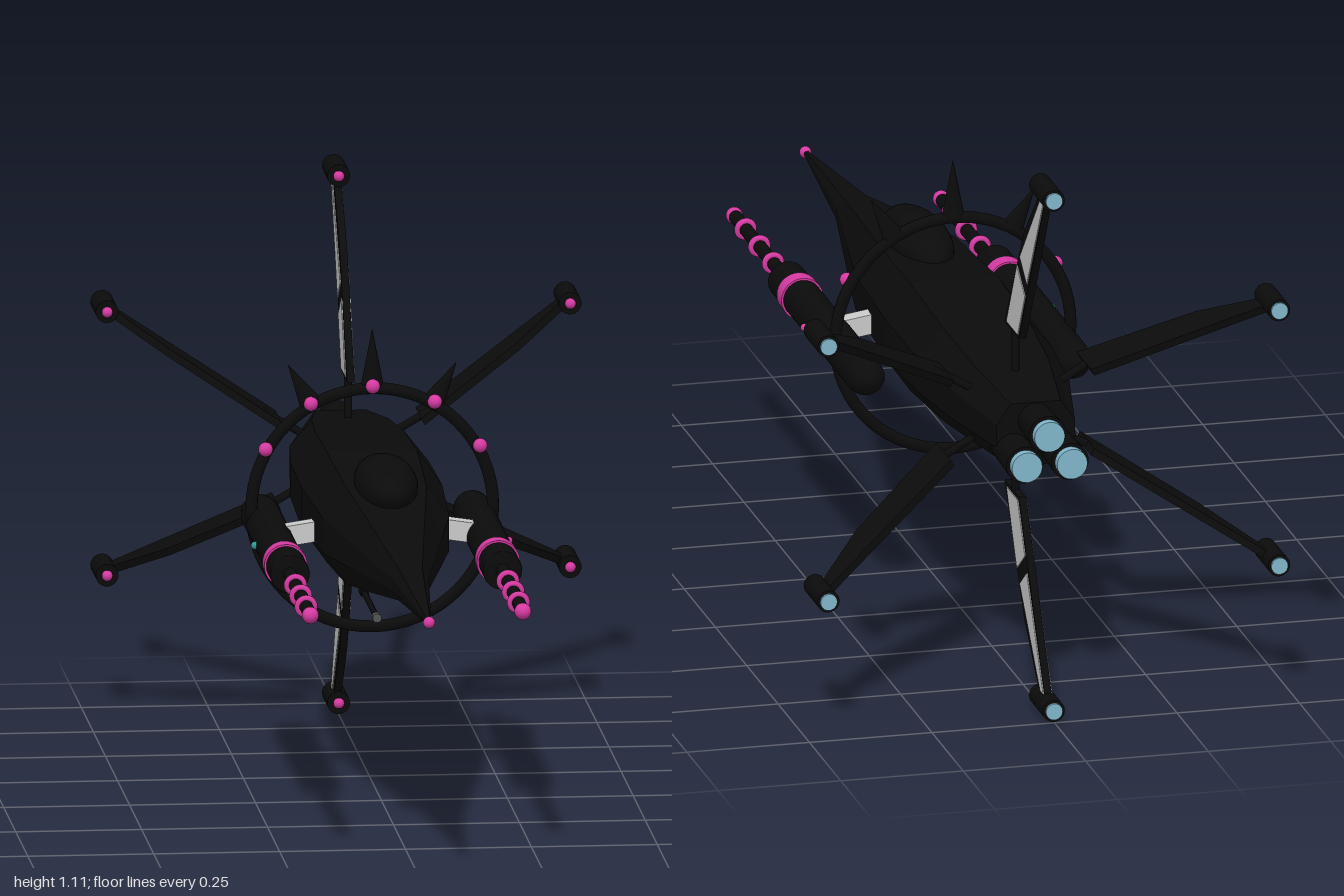
import * as THREE from 'three';

const AXIS_Y = 0.556;
const mat = (color, extra = {}) => {
  const m = new THREE.MeshStandardMaterial(extra);
  m.color.set(color);
  return m;
};

export function createModel() {
  const model = new THREE.Group();
  const black = mat(0x0b0b0c);
  const hullBlack = mat(0x0b0b0c, { flatShading: true });
  const pink = mat(0xd63aa2);
  const blue = mat(0x82b8cc);
  const teal = mat(0x2f9c94);
  const grey = mat(0x555555);
  const white = mat(0xe4e4e4);

  function add(parent, name, geometry, material, x = 0, y = 0, z = 0) {
    const mesh = new THREE.Mesh(geometry, material);
    mesh.name = name;
    mesh.position.set(x, y, z);
    parent.add(mesh);
    return mesh;
  }
  // Cylinder lying along z, from zBack to zFront
  const rod = (rFront, rBack, zBack, zFront, sides = 24) =>
    new THREE.CylinderGeometry(rFront, rBack, zFront - zBack, sides)
      .rotateX(Math.PI / 2).translate(0, 0, (zFront + zBack) / 2);
  const ball = (r) => new THREE.SphereGeometry(r, 16, 12);

  // Hull: chamfered eight-sided sections [z, half width, top, bottom]
  const sections = [
    [0.99, 0.004, 0.559, 0.551], [0.6, 0.037, 0.588, 0.524],
    [0.3, 0.09, 0.63, 0.484], [0.1, 0.125, 0.655, 0.46],
    [-0.2, 0.14, 0.668, 0.445], [-0.45, 0.137, 0.658, 0.463],
    [-0.65, 0.12, 0.643, 0.482], [-0.85, 0.08, 0.622, 0.492],
  ];
  const pos = [], index = [];
  for (const [z, w, top, bottom] of sections) {
    const mid = (top + bottom) / 2, h = (top - bottom) / 2;
    for (const [u, v] of [[1, -0.36], [1, 0.36], [0.64, 1], [-0.64, 1],
      [-1, 0.36], [-1, -0.36], [-0.64, -1], [0.64, -1]]) pos.push(u * w, mid + v * h, z);
  }
  for (let i = 0; i < sections.length - 1; i++) {
    for (let j = 0; j < 8; j++) {
      const a = i * 8 + j, b = i * 8 + (j + 1) % 8;
      index.push(a, a + 8, b + 8, a, b + 8, b);
    }
  }
  const last = (sections.length - 1) * 8;
  for (let j = 1; j < 7; j++) index.push(last, last + j + 1, last + j, 0, j, j + 1);
  const hull = new THREE.BufferGeometry();
  hull.setAttribute('position', new THREE.Float32BufferAttribute(pos, 3));
  hull.setIndex(index);
  hull.computeVertexNormals();
  add(model, 'hull', hull, hullBlack);
  add(model, 'noseTip', ball(0.012), pink, 0, AXIS_Y - 0.001, 0.988);
  add(model, 'canopy', new THREE.SphereGeometry(1, 32, 20).scale(0.062, 0.052, 0.165),
    black, 0, 0.66, 0.092);

  // Three main engines
  for (const [x, y] of [[0, 0.585], [-0.046, 0.525], [0.046, 0.525]]) {
    const engine = new THREE.Group();
    engine.name = 'mainEngine';
    engine.position.set(x, y, 0);
    add(engine, 'nozzle', rod(0.034, 0.038, -0.945, -0.78), black);
    add(engine, 'engineGlow', rod(0.031, 0.031, -0.963, -0.94), blue);
    model.add(engine);
  }

  // Halo ring with spikes and studs
  const halo = new THREE.Group();
  halo.name = 'halo';
  halo.position.set(0, AXIS_Y, -0.19);
  model.add(halo);
  add(halo, 'haloRing', new THREE.TorusGeometry(0.24, 0.012, 12, 64), black);
  for (const deg of [30, 60, 90, 120, 150]) {
    const a = THREE.MathUtils.degToRad(deg), c = Math.cos(a), s = Math.sin(a);
    add(halo, 'haloStud', ball(0.0145), pink, c * 0.246, s * 0.246, 0.014);
    if (deg < 60 || deg > 120) continue;
    const height = deg === 90 ? 0.12 : 0.095;
    const r = 0.24 + height / 2;
    const spike = add(halo, 'haloSpike', new THREE.ConeGeometry(0.024, height, 12)
      .scale(1, 1, 0.6), black, c * r, s * r, 0);
    spike.rotation.z = a - Math.PI / 2;
  }

  // Six swept fins; outlines are given as [radius, z]
  const plate = (points, depth) =>
    new THREE.ExtrudeGeometry(new THREE.Shape(points.map((p) => new THREE.Vector2(...p))),
      { depth, bevelEnabled: false }).translate(0, 0, -depth / 2).rotateX(Math.PI / 2);
  const finShape = plate([[0.165, -0.63], [0.165, -0.745], [0.525, -0.958],
    [0.525, -0.915], [0.4, -0.785]], 0.015);
  const rootPanel = plate([[0.172, -0.652], [0.172, -0.742], [0.27, -0.8], [0.315, -0.735]], 0.019);
  const tipPanel = plate([[0.34, -0.758], [0.3, -0.815], [0.515, -0.949], [0.515, -0.925]], 0.019);
  for (let i = 0; i < 6; i++) {
    const fin = new THREE.Group();
    fin.name = 'fin';
    fin.position.y = AXIS_Y;
    fin.rotation.z = Math.PI / 6 + i * Math.PI / 3;
    model.add(fin);
    add(fin, 'finPlate', finShape, black);
    if (i % 3 === 1) {
      add(fin, 'finRootPanel', rootPanel, white);
      add(fin, 'finTipPanel', tipPanel, white);
    }
    add(fin, 'finStrut', new THREE.CylinderGeometry(0.008, 0.008, 0.16, 12)
      .rotateZ(Math.PI / 2), black, 0.12, 0, -0.69);
    add(fin, 'finPod', rod(0.0225, 0.0225, -0.995, -0.885), black, 0.531);
    add(fin, 'finPodLight', ball(0.011), pink, 0.531, 0, -0.881);
    add(fin, 'finPodGlow', rod(0.017, 0.017, -1, -0.99), blue, 0.531);
  }

  // Side cannons and chin guns, mirrored
  const podProfile = [[0, -0.36], [0.016, -0.356], [0.03, -0.343], [0.037, -0.325],
    [0.039, -0.3], [0.039, 0.308], [0.037, 0.31], [0, 0.31]];
  const podBody = new THREE.LatheGeometry(podProfile.map((p) => new THREE.Vector2(...p)), 32)
    .rotateX(Math.PI / 2);
  for (const side of [-1, 1]) {
    const cannon = new THREE.Group();
    cannon.name = side > 0 ? 'leftCannon' : 'rightCannon';
    cannon.position.set(side * 0.211, 0.523, 0);
    model.add(cannon);
    add(cannon, 'cannonBody', podBody, black);
    add(cannon, 'cannonBand', rod(0.043, 0.043, 0.185, 0.223, 32), pink);
    add(cannon, 'barrel', rod(0.0135, 0.0135, 0.3, 0.73), black);
    for (const z of [0.42, 0.53, 0.64]) {
      add(cannon, 'barrelRing', new THREE.TorusGeometry(0.016, 0.007, 10, 24), pink, 0, 0, z);
    }
    add(cannon, 'muzzleBall', ball(0.017), pink, 0, 0, 0.73);
    add(cannon, 'navigationLight', ball(0.008), side > 0 ? pink : teal, side * 0.041, 0, 0.01);

    const pylon = add(model, 'cannonPylon', new THREE.BoxGeometry(0.1, 0.04, 0.036),
      white, side * 0.155, 0.538, -0.04);
    pylon.rotation.z = -side * 0.15;

    add(model, 'chinGun', rod(0.006, 0.006, 0.13, 0.42, 12), black, side * 0.05, 0.456, 0);
    add(model, 'chinGunMuzzle', rod(0.009, 0.009, 0.415, 0.435, 12), grey, side * 0.05, 0.456, 0);
    add(model, 'chinGunMount', new THREE.BoxGeometry(0.016, 0.035, 0.05), black,
      side * 0.05, 0.468, 0.16);
  }
  return model;
}
